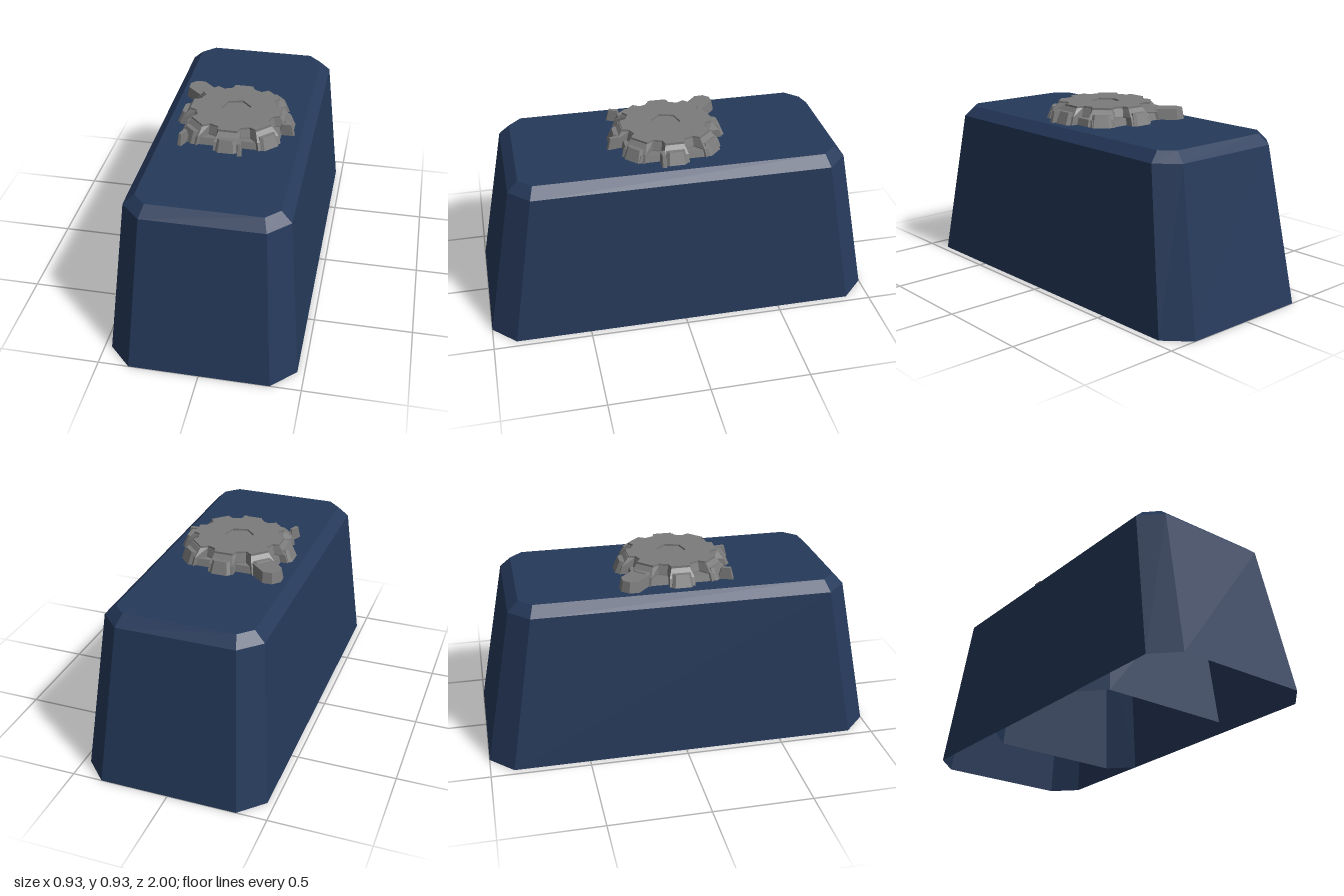
import * as THREE from 'three';

const DECK = 0.84; // height of the cap's flat top
const GEAR_Z = 0.015;

// Chamfered rectangle, counter-clockwise seen from above
function octagon(hx, hz, c) {
  return [[hx, hz - c], [hx, c - hz], [hx - c, -hz], [c - hx, -hz],
    [-hx, c - hz], [-hx, hz - c], [c - hx, hz], [hx - c, hz]];
}

// Flat-faced skin through loops of equal length, closed at the top
function loft(rings) {
  const pos = [];
  const n = rings[0].pts.length;
  const at = (r, i) => [r.pts[i % n][0], r.y, r.pts[i % n][1]];
  for (let k = 0; k < rings.length - 1; k++) {
    const a = rings[k], b = rings[k + 1];
    for (let i = 0; i < n; i++) {
      pos.push(...at(a, i), ...at(a, i + 1), ...at(b, i + 1));
      pos.push(...at(a, i), ...at(b, i + 1), ...at(b, i));
    }
  }
  const top = rings[rings.length - 1];
  for (let i = 0; i < n; i++) pos.push(0, top.y, 0, ...at(top, i), ...at(top, i + 1));
  const g = new THREE.BufferGeometry();
  g.setAttribute('position', new THREE.Float32BufferAttribute(pos, 3));
  g.computeVertexNormals();
  return g;
}

// Eight-toothed outline: flat tips joined by short notches
function cog(tip, notch, halfTip = 0.2, halfRoot = 0.28) {
  const pts = [];
  for (let i = 0; i < 8; i++) {
    const mid = i * Math.PI / 4;
    const r = i % 2 ? 1.03 : 1; // diagonal teeth reach slightly further
    for (const [da, rad] of [[-halfRoot, notch], [-halfTip, tip * r], [halfTip, tip * r], [halfRoot, notch]]) {
      pts.push([Math.cos(mid + da) * rad, -Math.sin(mid + da) * rad]);
    }
  }
  return pts;
}

export function createModel() {
  const blue = new THREE.MeshStandardMaterial({ color: 0x25395a, side: THREE.DoubleSide, flatShading: true });
  blue.name = 'navy blue';
  const grey = new THREE.MeshStandardMaterial({ color: 0x7b7b7b, side: THREE.DoubleSide, flatShading: true });
  grey.name = 'stone grey';

  const model = new THREE.Group();
  const add = (parent, name, geo, mat, x = 0, y = 0, z = 0, ry = 0) => {
    const m = new THREE.Mesh(geo, mat);
    m.name = name;
    m.position.set(x, y, z);
    m.rotation.y = ry;
    parent.add(m);
    return m;
  };

  // Long hollow cap, open underneath
  add(model, 'outerCap', loft([
    { y: 0, pts: octagon(0.465, 1, 0.117) },
    { y: 0.79, pts: octagon(0.396, 0.85, 0.1) },
    { y: DECK, pts: octagon(0.343, 0.797, 0.065) },
  ]), blue);

  // Square hollow cap nested inside it
  add(model, 'innerCap', loft([
    { y: 0, pts: octagon(0.462, 0.463, 0.117) },
    { y: 0.788, pts: octagon(0.393, 0.393, 0.1) },
    { y: 0.837, pts: octagon(0.34, 0.34, 0.065) },
  ]), blue, 0, 0, 0.018);

  // Rugged gear emblem on the deck
  const gear = new THREE.Group();
  gear.name = 'gear';
  gear.position.set(0, DECK, GEAR_Z);
  model.add(gear);

  add(gear, 'gearBody', loft([
    { y: 0, pts: cog(0.29, 0.225, 0.23, 0.29) },
    { y: 0.04, pts: cog(0.275, 0.22, 0.23, 0.29) },
    { y: 0.08, pts: cog(0.238, 0.208) },
  ]), grey);

  // Top plate with a shallow six-sided recess
  const plate = new THREE.Shape(cog(0.235, 0.206).map(([x, z]) => new THREE.Vector2(x, -z)));
  const hole = [];
  for (let i = 0; i < 6; i++) {
    const a = 0.25 + i * Math.PI / 3;
    hole.push(new THREE.Vector2(Math.cos(a) * 0.076, Math.sin(a) * 0.076));
  }
  plate.holes.push(new THREE.Path(hole));
  const plateGeo = new THREE.ExtrudeGeometry(plate, { depth: 0.01, bevelEnabled: false });
  plateGeo.rotateX(-Math.PI / 2);
  add(gear, 'gearTopPlate', plateGeo, grey, 0, 0.08, 0);

  // Lower ledge showing between the teeth
  add(gear, 'gearLedge', loft([
    { y: 0, pts: octagon(0.245, 0.24, 0.06) },
    { y: 0.035, pts: octagon(0.235, 0.23, 0.06) },
  ]), grey);

  // Raised blocks on the four straight sides and the corners
  for (let i = 0; i < 8; i++) {
    const a = i * Math.PI / 4;
    const r = i % 2 ? 0.25 : 0.245;
    add(gear, 'toothBlock', loft([
      { y: 0, pts: octagon(0.055, 0.055, 0.015) },
      { y: 0.06, pts: octagon(0.03, 0.045, 0.012) },
    ]), grey, Math.cos(a) * r, 0, -Math.sin(a) * r, a);
  }

  // Rounded lug at the back corner
  add(gear, 'cornerLug', loft([
    { y: 0, pts: octagon(0.1, 0.06, 0.035) },
    { y: 0.055, pts: octagon(0.09, 0.052, 0.032) },
  ]), grey, -0.222, 0, -0.222, -0.75);

  // Thin fins
  const fin = () => loft([
    { y: 0, pts: octagon(0.04, 0.013, 0.004) },
    { y: 0.06, pts: octagon(0.025, 0.01, 0.003) },
  ]);
  add(gear, 'sideFin', fin(), grey, 0.27, 0, 0.065);
  add(gear, 'frontFin', fin(), grey, 0.065, 0, 0.275, -1.4);
  add(gear, 'cornerFin', fin(), grey, -0.225, 0, 0.235, 1.2);

  return model;
}
